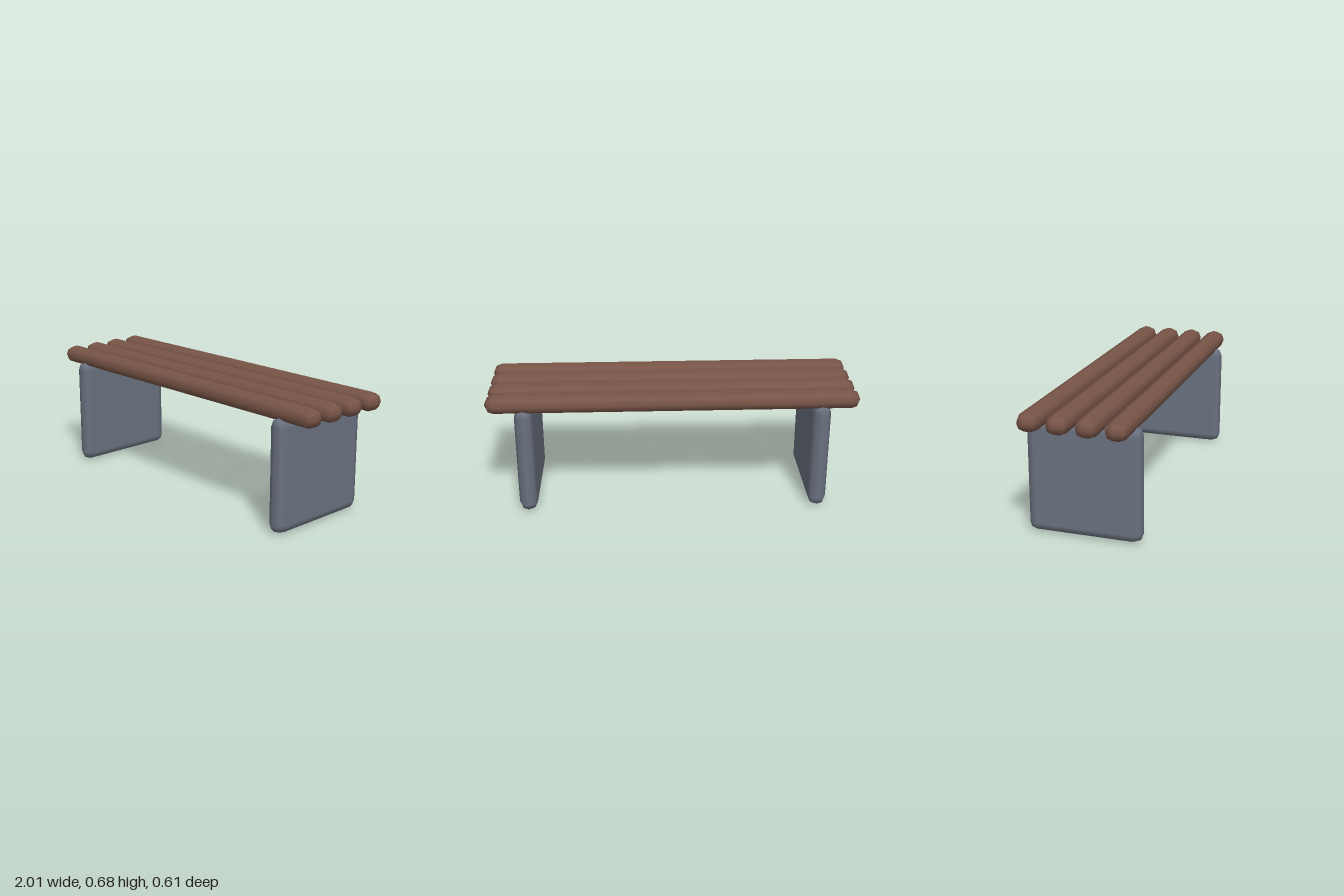
import * as THREE from 'three';
import { RoundedBoxGeometry } from 'three/addons/geometries/RoundedBoxGeometry.js';

export function createModel() {
  const bench = new THREE.Group();
  bench.name = 'bench';
  const wood = new THREE.MeshStandardMaterial({ color: 0x795548 });
  const stone = new THREE.MeshStandardMaterial({ color: 0x6b7280 });

  const add = (name, geometry, material, x, y, z) => {
    const mesh = new THREE.Mesh(geometry, material);
    mesh.name = name;
    mesh.position.set(x, y, z);
    bench.add(mesh);
  };

  // Seat: four softened slats along x
  // (one rounding segment trims each side by about a tenth of the radius)
  const slat = new RoundedBoxGeometry(2.0095, 0.1, 0.12, 1, 0.05);
  for (let i = 0; i < 4; i++) add(`seatSlat${i + 1}`, slat, wood, 0, 0.622, 0.22 - i * 0.15);

  // Legs: two upright rounded slabs
  const leg = new RoundedBoxGeometry(0.1, 0.6095, 0.6095, 1, 0.05);
  add('leftLeg', leg, stone, 0.8, 0.3, 0);
  add('rightLeg', leg, stone, -0.8, 0.3, 0);

  return bench;
}
